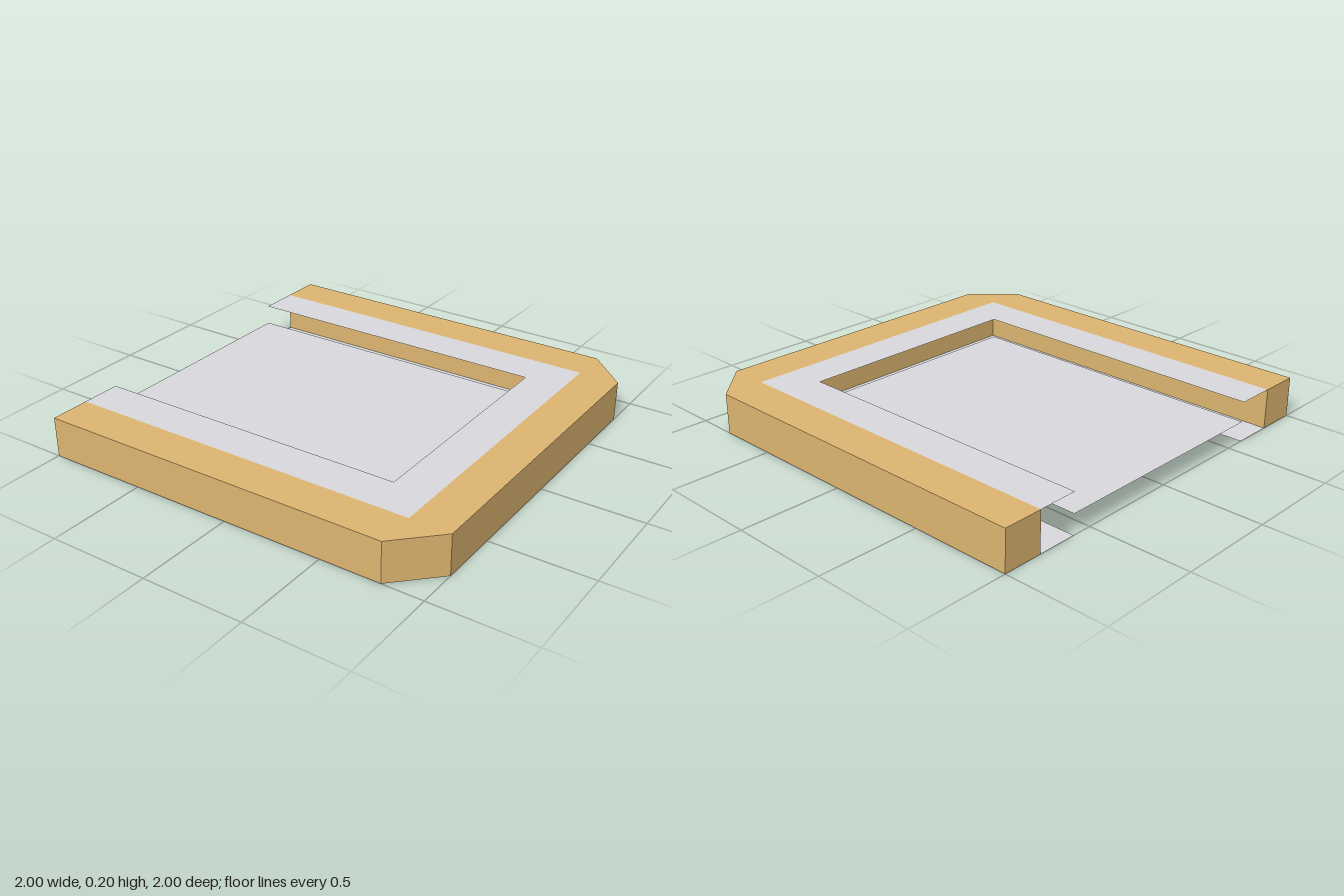
import * as THREE from 'three';

// Plan outline: points are [x, z], laid flat so z points to the front.
function planShape(points) {
  return new THREE.Shape(points.map(([x, z]) => new THREE.Vector2(x, -z)));
}

// Turn the upper half of an open U outline into the full mirrored outline.
function mirrored(half) {
  return [...half, ...half.map(([x, z]) => [x, -z]).reverse()];
}

export function createModel() {
  const wood = new THREE.MeshStandardMaterial({ color: 0xddb570 });
  wood.name = 'golden frame';
  const metal = new THREE.MeshStandardMaterial({ color: 0xd9d9dd, side: THREE.DoubleSide });
  metal.name = 'light grey sheet';

  const model = new THREE.Group();
  model.name = 'slottedTray';

  function add(name, geometry, material, y) {
    geometry.rotateX(-Math.PI / 2);
    const mesh = new THREE.Mesh(geometry, material);
    mesh.name = name;
    mesh.position.y = y;
    model.add(mesh);
  }

  // U-shaped frame, open at -x, with two chamfered outer corners
  const frame = planShape([
    [-1, 1], [0.8, 1], [1, 0.8], [1, -0.8], [0.8, -1], [-1, -1],
    [-1, -0.8], [0.8, -0.8], [0.8, 0.8], [-1, 0.8],
  ]);
  add('frame', new THREE.ExtrudeGeometry(frame, { depth: 0.2, bevelEnabled: false }), wood, 0);

  // Thin lips around the opening, flush with the top and bottom of the frame
  const lip = planShape([
    [-1, 0.8], [0.8, 0.8], [0.8, -0.8], [-1, -0.8],
    [-1, -0.6], [0.6, -0.6], [0.6, 0.6], [-1, 0.6],
  ]);
  add('topLip', new THREE.ShapeGeometry(lip), metal, 0.2);
  add('bottomLip', new THREE.ShapeGeometry(lip), metal, 0);

  // Floating sheet halfway between the lips
  const sheet = planShape(mirrored([[-1, 0.6], [0.6, 0.6]]));
  add('middleSheet', new THREE.ShapeGeometry(sheet), metal, 0.1);

  return model;
}
